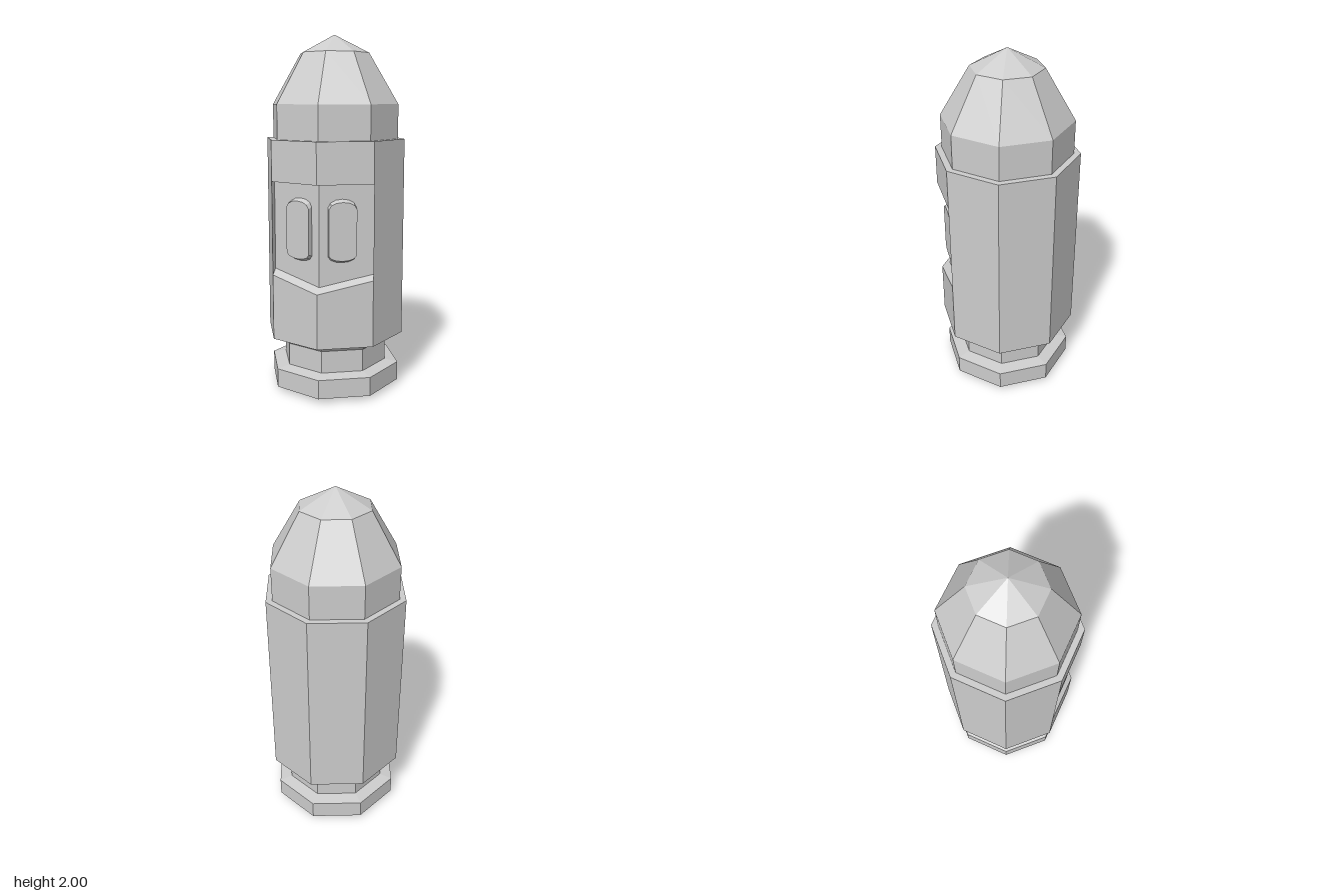
import * as THREE from 'three';

const material = new THREE.MeshStandardMaterial({ color: 0xcccccc, flatShading: true });

export function createModel() {
  const group = new THREE.Group();
  const add = (name, geometry, parent = group) => {
    const mesh = new THREE.Mesh(geometry, material);
    mesh.name = name;
    parent.add(mesh);
    return mesh;
  };
  // Eight-sided turned part from [radius, height] pairs, bottom to top
  const turned = (profile, segments = 8, start = 0) => new THREE.LatheGeometry(
    profile.map(([r, y]) => new THREE.Vector2(r, y)), segments, start, segments * Math.PI / 4);

  const R = 0.4, bottom = 0.315, top = 1.43;

  add('foot', turned([[0, 0], [0.31, 0], [0.378, 0.025], [0.378, 0.132], [0.302, 0.145]]));
  add('neck', turned([[0.302, 0.14], [0.302, 0.27], [0.32, 0.288], [R, bottom]]));
  add('bodyShell', turned([[R, bottom], [R, top]], 6, Math.PI / 4));
  add('shoulder', turned([[R, top], [0.36, top]]));
  add('nose', turned([[0.363, top], [0.363, 1.62], [0.197, 1.9], [0, 2]]));

  // Front faces with a recessed window; its sill slopes up towards the back
  const c = R * Math.SQRT1_2, depth = 0.05, lintel = 1.205;
  const sill = z => 0.62 + (R - z) * 0.55;
  const outer = [[0, R], [c, c]];
  const inner = outer.map(([x, z]) => [x, z - depth]);
  const at = ([x, z], y) => [x, y, z];
  const low = p => at(p, sill(p[1]));
  const high = p => at(p, lintel);
  const [p0, p1] = outer, [q0, q1] = inner;
  const quads = [
    [at(p0, bottom), at(p1, bottom), low(p1), low(p0)],   // below window
    [high(p0), high(p1), at(p1, top), at(p0, top)],       // above window
    [low(q0), low(q1), high(q1), high(q0)],               // back of recess
    [low(p0), low(p1), low(q1), low(q0)],                 // sill
    [high(p0), high(q0), high(q1), high(p1)],             // lintel
    [low(q1), low(p1), high(p1), high(q1)],               // side wall
  ];
  const positions = [];
  for (const side of [1, -1]) {
    for (const quad of quads) {
      const q = side > 0 ? quad : [...quad].reverse();
      for (const i of [0, 1, 2, 0, 2, 3]) positions.push(side * q[i][0], q[i][1], q[i][2]);
    }
  }
  const recess = new THREE.BufferGeometry();
  recess.setAttribute('position', new THREE.Float32BufferAttribute(positions, 3));
  recess.computeVertexNormals();
  add('windowRecess', recess);

  // Raised buttons with shallow rounded ends that slope back
  const w = 0.076, straight = 0.13, half = 0.173;
  const outline = new THREE.Shape();
  outline.moveTo(-w, -straight);
  outline.bezierCurveTo(-w * 0.9, -half, w * 0.9, -half, w, -straight);
  outline.lineTo(w, straight);
  outline.bezierCurveTo(w * 0.9, half + 0.012, -w * 0.9, half + 0.012, -w, straight);
  const button = new THREE.ExtrudeGeometry(outline, { depth: 0.038, bevelEnabled: false, curveSegments: 6 });
  button.translate(0, 0, -0.01);
  const pos = button.attributes.position;
  for (let i = 0; i < pos.count; i++) {
    const y = pos.getY(i);
    pos.setY(i, y * (pos.getZ(i) > 0 ? 0.95 : 1.06));
  }
  button.computeVertexNormals();
  for (const side of [1, -1]) {
    const mesh = add(side > 0 ? 'leftButton' : 'rightButton', button);
    mesh.position.set(side * 0.115, 0.948, R - depth - 0.115 * Math.tan(Math.PI / 8));
    mesh.rotation.y = side * Math.PI / 8;
  }
  return group;
}
